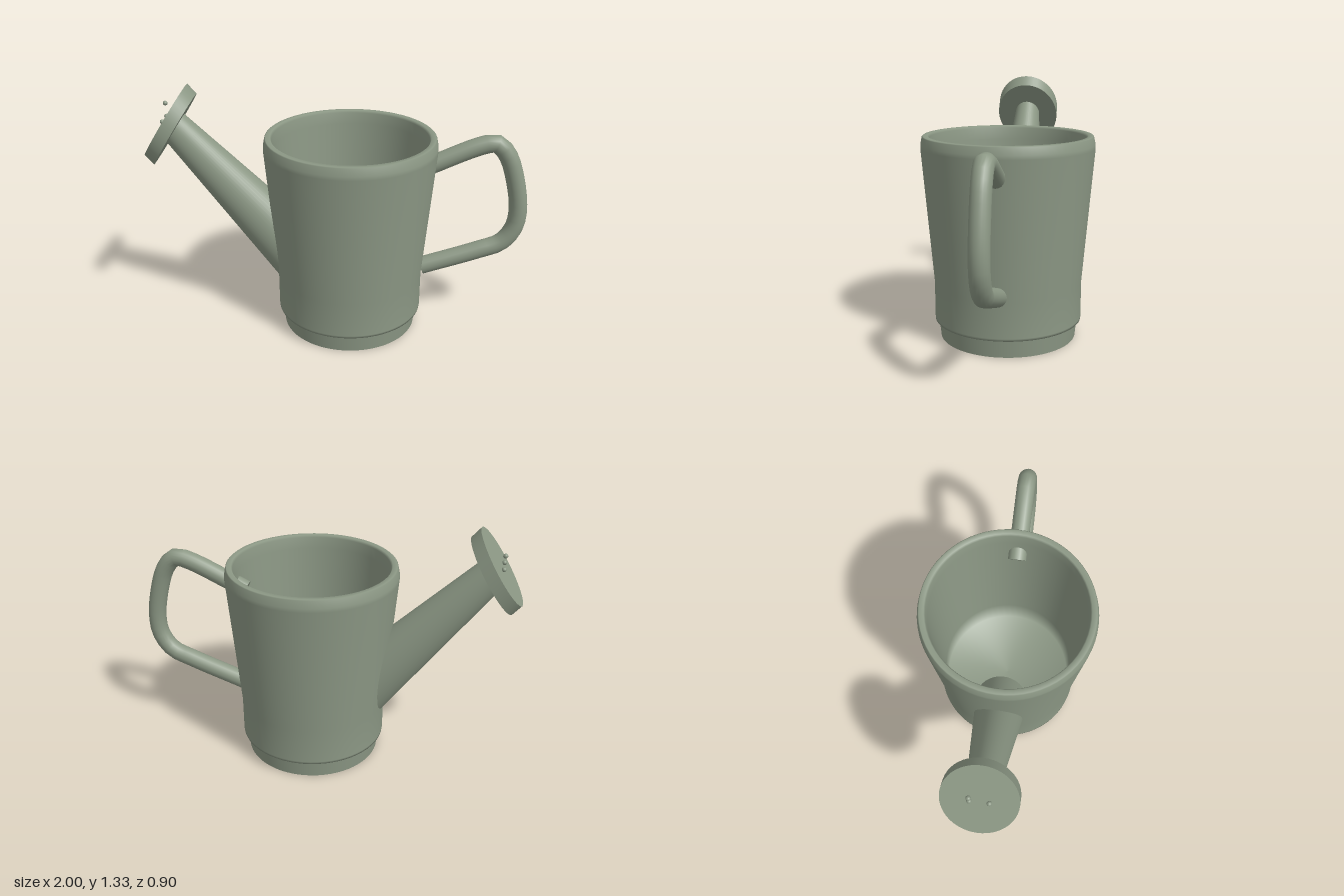
import * as THREE from 'three';

export function createModel() {
  const group = new THREE.Group();
  group.name = 'wateringCan';
  const paint = new THREE.MeshStandardMaterial({ color: 0x8c9885 });
  paint.name = 'sage green';
  const paintOpen = new THREE.MeshStandardMaterial({ color: 0x8c9885, side: THREE.DoubleSide });
  paintOpen.name = 'sage green open';
  const bodyX = 0.065;

  function add(name, geometry, material = paint, x = 0, y = 0, z = 0) {
    const mesh = new THREE.Mesh(geometry, material);
    mesh.name = name;
    mesh.position.set(x, y, z);
    group.add(mesh);
    return mesh;
  }
  const lathe = (points) =>
    new THREE.LatheGeometry(points.map(([r, y]) => new THREE.Vector2(r, y)), 64);

  // Hollow bucket: underside, flared wall, bevelled rim, inside wall and floor
  add('body', lathe([
    [0, 0.097], [0.389, 0.097], [0.39, 0.11], [0.39, 0.3], [0.45, 1.01], [0.449, 1.03],
    [0.441, 1.068], [0.436, 1.072], [0.412, 1.072], [0.405, 1.06], [0.4, 1.0],
    [0.355, 0.3], [0.35, 0.14], [0, 0.12],
  ]), paint, bodyX);

  // Open foot ring below the body
  add('footRing', lathe([[0.36, 0], [0.37, 0.097]]), paintOpen, bodyX);

  // Spout and rose are slanted cylinders with the same oval cross-section
  const across = new THREE.Vector3(0.118, 0.184, 0);
  const side = new THREE.Vector3(0, 0, 0.18);
  function slantedCylinder(rTop, rBottom, from, to) {
    const a = new THREE.Vector3(...from), b = new THREE.Vector3(...to);
    const matrix = new THREE.Matrix4().makeBasis(across, b.clone().sub(a), side);
    matrix.setPosition(a.add(b).multiplyScalar(0.5));
    return new THREE.CylinderGeometry(rTop, rBottom, 1, 48).applyMatrix4(matrix);
  }
  add('spout', slantedCylinder(0.405, 0.806, [-0.195, 0.364, 0], [-0.835, 1.095, 0]));
  add('rose', slantedCylinder(1, 1, [-0.838, 1.09, 0], [-0.882, 1.142, 0]));

  // Water drops at the rose
  for (const [y, z] of [[1.215, -0.045], [1.145, -0.045], [1.145, 0.045]]) {
    add('drop', new THREE.SphereGeometry(0.012, 16, 10), paint, -0.89, y, z);
  }

  // Bent handle with closed ends
  const path = new THREE.CatmullRomCurve3([
    [0.425, 0.89], [0.5, 0.925], [0.74, 1.03], [0.81, 1.04], [0.87, 0.98], [0.92, 0.845],
    [0.95, 0.674], [0.937, 0.567], [0.877, 0.48], [0.76, 0.43], [0.455, 0.324],
  ].map(([x, y]) => new THREE.Vector3(x, y, 0)));
  add('handle', new THREE.TubeGeometry(path, 32, 0.048, 20));
  for (const t of [0, 1]) {
    const p = path.getPointAt(t);
    const cap = add('handleEnd', new THREE.CircleGeometry(0.048, 20), paint, p.x, p.y, 0);
    cap.lookAt(p.clone().addScaledVector(path.getTangentAt(t), t ? 1 : -1));
  }

  return group;
}
